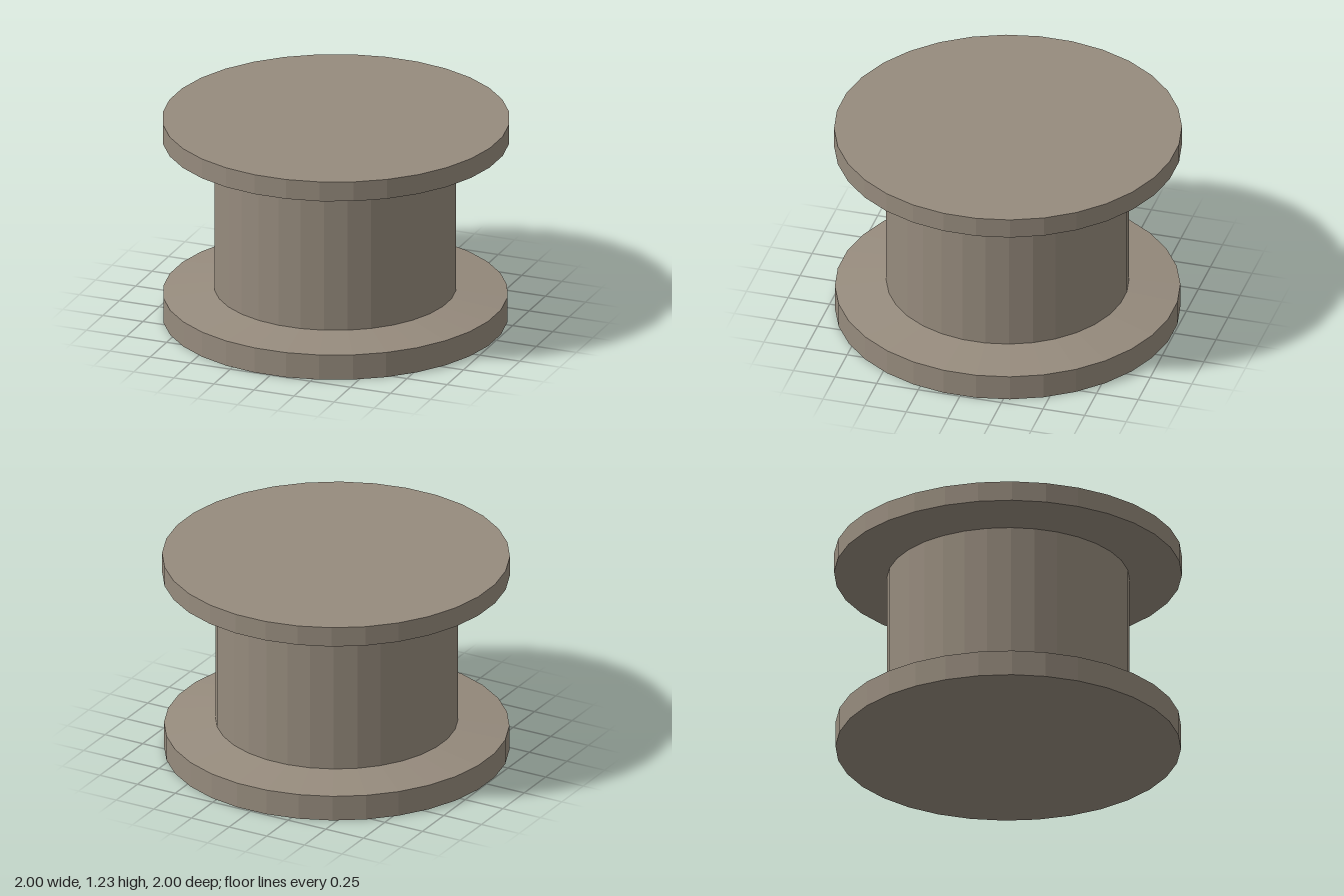
import * as THREE from 'three';

const SIDES = 32;
const STEP = Math.PI / SIDES;

export function createModel() {
  const model = new THREE.Group();
  model.name = 'spool';
  const stone = new THREE.MeshStandardMaterial({ color: 0x968b7d, flatShading: true });
  stone.name = 'warm grey';

  // Turned part from [flat-to-centre radius, y] pairs, listed bottom to top
  const turned = (name, profile, offset = 0) => {
    const points = profile.map(([r, y]) => new THREE.Vector2(r / Math.cos(STEP), y));
    const mesh = new THREE.Mesh(new THREE.LatheGeometry(points, SIDES, STEP), stone);
    mesh.name = name;
    mesh.position.set(-offset, 0, offset);
    model.add(mesh);
  };

  // Lower flange with a sloped top
  turned('lowerFlange', [[0, 0], [0.993, 0], [0.993, 0.153], [0.698, 0.19]], 0.003);
  // Straight drum between the flanges
  turned('drum', [[0.698, 0.19], [0.698, 1.075]], 0.003);
  // Upper flange with a sloped underside and flat cap
  turned('upperFlange', [[0.695, 1.074], [1, 1.11], [1, 1.23], [0, 1.23]]);

  return model;
}
